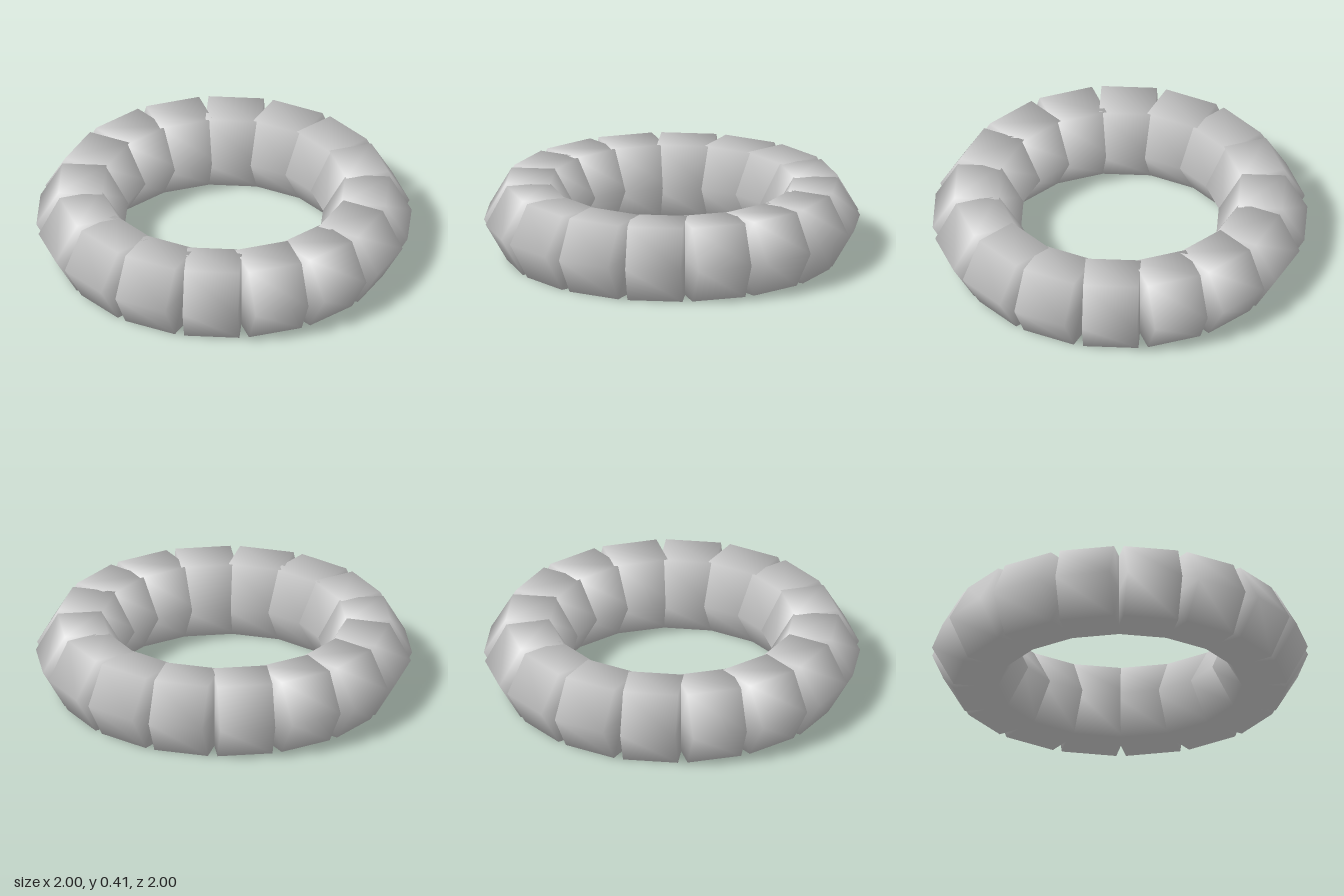
import * as THREE from 'three';

const COUNT = 16;          // segments in the ring
const RING = 0.755;        // ring radius to the segment centres
const RADIUS = 0.235;      // hexagon corner radius
const LENGTH = 0.295;      // segment length along the ring

// Hexagonal prism lying along x, softly shaded across its end caps
function segmentGeometry() {
  const geo = new THREE.CylinderGeometry(RADIUS, RADIUS, LENGTH, 6);
  const pos = geo.attributes.position;
  const n = new THREE.Vector3();
  for (let i = 0; i < pos.count; i++) {
    n.set(pos.getX(i) / RADIUS * 0.79, Math.sign(pos.getY(i)) * 0.61, pos.getZ(i) / RADIUS * 0.79).normalize();
    geo.attributes.normal.setXYZ(i, n.x, n.y, n.z);
  }
  geo.rotateZ(Math.PI / 2);
  geo.translate(0, RADIUS * Math.sqrt(3) / 2, RING);
  return geo;
}

export function createModel() {
  const model = new THREE.Group();
  model.name = 'segmentedRing';
  const grey = new THREE.MeshStandardMaterial({ color: 0xcccccc });
  grey.name = 'light grey';
  const geo = segmentGeometry();

  // Segments spaced evenly around the ring
  for (let i = 0; i < COUNT; i++) {
    const segment = new THREE.Mesh(geo, grey);
    segment.name = `ringSegment${i + 1}`;
    segment.rotation.y = (i + 0.5) * 2 * Math.PI / COUNT;
    model.add(segment);
  }
  return model;
}
